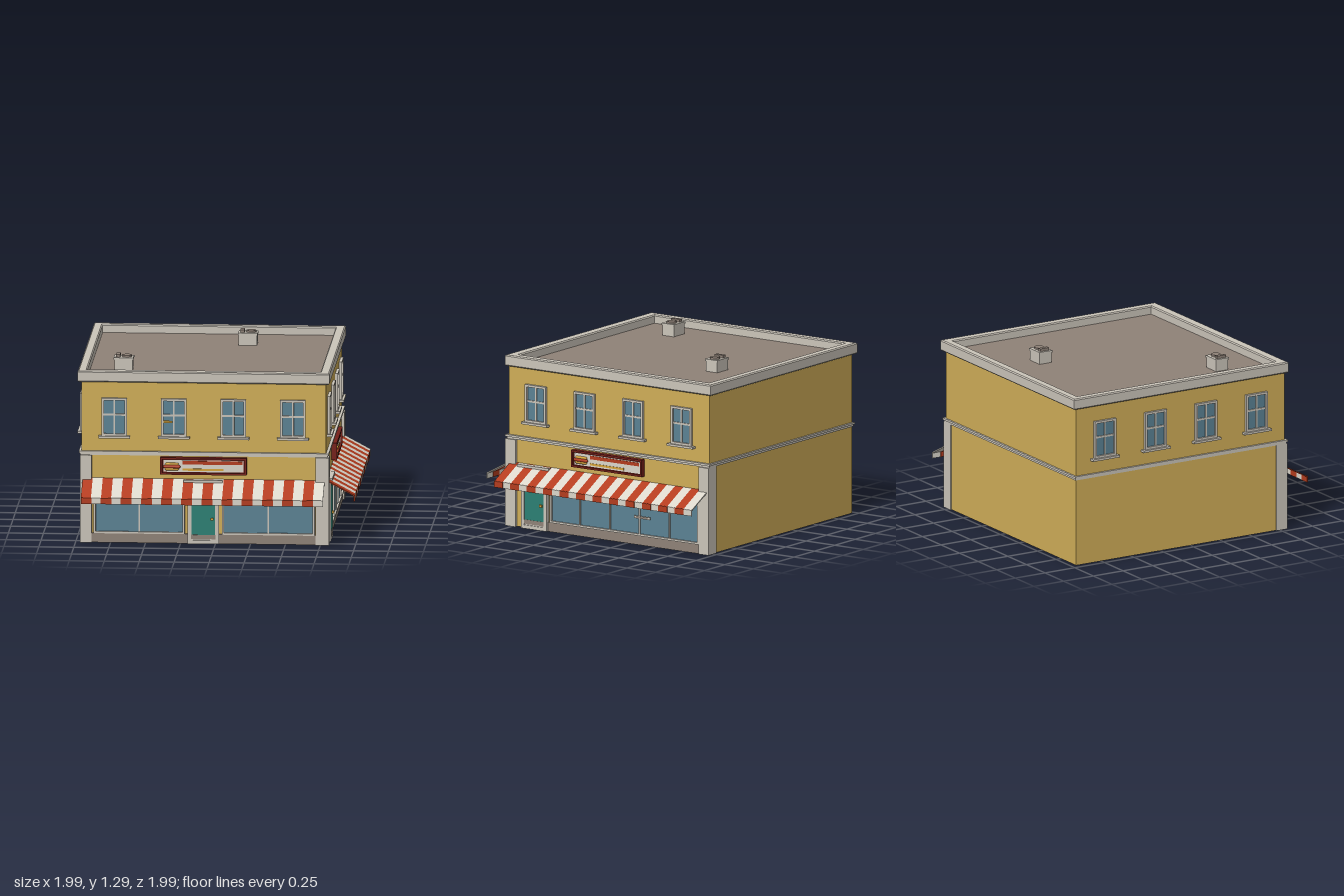
import * as THREE from 'three';

const mat = (name, color) => {
  const m = new THREE.MeshStandardMaterial({ color });
  m.name = name;
  return m;
};

export function createModel() {
  const wall = mat('ochre wall', 0xd0ae58);
  const trim = mat('stone trim', 0xcbc5ba);
  const brown = mat('brown grey roofing', 0x8f8278);
  const glass = mat('blue glass', 0x5b8294);
  const teal = mat('teal door', 0x2c8074);
  const red = mat('awning red', 0xb43c1e);
  const cream = mat('awning cream', 0xdcd7cc);
  const maroon = mat('maroon frame', 0x762019);
  const gold = mat('gold', 0xd8a63c);

  const model = new THREE.Group();
  model.name = 'cornerShop';

  const add = (parent, name, geometry, material) => {
    const mesh = new THREE.Mesh(geometry, material);
    mesh.name = name;
    parent.add(mesh);
    return mesh;
  };
  // Box given by its extents on each axis
  const box = (parent, name, material, x0, x1, y0, y1, z0, z1) => {
    const mesh = add(parent, name, new THREE.BoxGeometry(x1 - x0, y1 - y0, z1 - z0), material);
    mesh.position.set((x0 + x1) / 2, (y0 + y1) / 2, (z0 + z1) / 2);
    return mesh;
  };
  const group = (parent, name) => {
    const g = new THREE.Group();
    g.name = name;
    parent.add(g);
    return g;
  };
  // Four bars around an opening, facing +z
  const frame = (parent, name, material, x0, x1, y0, y1, t, depth) => {
    box(parent, name, material, x0, x0 + t, y0, y1, 0, depth);
    box(parent, name, material, x1 - t, x1, y0, y1, 0, depth);
    box(parent, name, material, x0 + t, x1 - t, y0, y0 + t, 0, depth);
    box(parent, name, material, x0 + t, x1 - t, y1 - t, y1, 0, depth);
  };

  // Main block
  box(model, 'walls', wall, -0.96, 0.79, 0.004, 1.175, -0.965, 0.79);
  box(model, 'foundation', brown, -0.955, 0.785, 0, 0.03, -0.96, 0.785);
  box(model, 'roof', brown, -0.95, 0.78, 1.15, 1.185, -0.955, 0.78);

  // Moulded band between the floors
  box(model, 'lowerBand', trim, -0.968, 0.8, 0.635, 0.65, -0.973, 0.8);
  box(model, 'upperBand', trim, -0.976, 0.81, 0.65, 0.665, -0.98, 0.81);

  // Parapet ring with a softened edge
  const bevel = 0.008;
  const square = (path, x0, x1, z0, z1) => {
    path.moveTo(x0, -z1).lineTo(x1, -z1).lineTo(x1, -z0).lineTo(x0, -z0).closePath();
    return path;
  };
  const ring = square(new THREE.Shape(), -0.985 + bevel, 0.815 - bevel, -0.995 + bevel, 0.81 - bevel);
  ring.holes.push(square(new THREE.Path(), -0.92 - bevel, 0.745 + bevel, -0.93 - bevel, 0.735 + bevel));
  const parapet = add(model, 'parapet', new THREE.ExtrudeGeometry(ring, {
    depth: 0.08 - 2 * bevel, bevelEnabled: true, bevelSize: bevel, bevelThickness: bevel, bevelSegments: 1,
  }), trim);
  parapet.rotation.x = -Math.PI / 2;
  parapet.position.y = 1.165 + bevel;

  // Corner pillars
  box(model, 'cornerPillar', trim, -0.966, -0.885, 0, 0.635, 0.72, 0.812);
  box(model, 'cornerPillar', trim, 0.715, 0.812, 0, 0.635, 0.72, 0.812);
  box(model, 'cornerPillar', trim, 0.715, 0.812, 0, 0.635, -0.972, -0.885);

  // Roof units
  for (const [x, z] of [[-0.68, 0.4], [0.145, -0.57]]) {
    const unit = group(model, 'roofUnit');
    unit.position.set(x, 1.18, z);
    box(unit, 'unitBody', trim, -0.065, 0.065, 0, 0.08, -0.05, 0.05);
    box(unit, 'unitLid', trim, -0.07, 0.07, 0.08, 0.095, -0.055, 0.055);
    box(unit, 'unitVent', brown, -0.055, -0.025, 0.095, 0.115, -0.037, 0.037);
    const fan = add(unit, 'unitFan', new THREE.CylinderGeometry(0.035, 0.035, 0.013, 16), brown);
    fan.position.set(0.022, 0.1015, 0);
  }

  // Each facade is built facing +z around its own centre line, then turned into place
  const facade = (name, x, z, turn) => {
    const g = group(model, name);
    g.position.set(x, 0, z);
    g.rotation.y = turn;
    return g;
  };

  const upperWindows = (side) => {
    for (let i = 0; i < 4; i++) {
      const w = group(side, 'upperWindow');
      w.position.x = -0.638 + i * 0.4255;
      box(w, 'windowGlass', glass, -0.08, 0.08, 0.78, 1.04, 0, 0.006);
      frame(w, 'windowFrame', trim, -0.091, 0.091, 0.775, 1.05, 0.017, 0.02);
      box(w, 'windowMullion', trim, -0.006, 0.006, 0.79, 1.035, 0, 0.012);
      box(w, 'windowTransom', trim, -0.075, 0.075, 0.922, 0.936, 0, 0.013);
      box(w, 'windowSill', trim, -0.113, 0.113, 0.76, 0.776, 0, 0.036);
    }
  };

  const awning = (side) => {
    const a = group(side, 'awning');
    const n = 24, w = 1.73 / n, drop = 0.108, reach = 0.2;
    for (let i = 0; i < n; i++) {
      const material = i % 2 ? cream : red;
      const x = -0.865 + (i + 0.5) * w;
      const cloth = add(a, 'awningStripe', new THREE.BoxGeometry(w, 0.008, Math.hypot(drop, reach)), material);
      cloth.position.set(x, 0.464 - drop / 2, reach / 2);
      cloth.rotation.x = Math.atan2(drop, reach);
      const extra = i % 2 ? 0 : 0.003;
      box(a, 'awningValance', material, x - w / 2 - (i ? extra : 0), x + w / 2 + extra,
        0.315, 0.358, reach - 0.004 - extra / 2, reach + 0.004 + extra / 2);
    }
  };

  const sign = (side) => {
    const s = group(side, 'signBoard');
    box(s, 'signBack', maroon, -0.305, 0.305, 0.51, 0.62, 0, 0.024);
    frame(s, 'signFrame', maroon, -0.308, 0.308, 0.503, 0.627, 0.014, 0.04);
    box(s, 'signPanel', cream, -0.285, 0.285, 0.522, 0.607, 0.024, 0.028);
    box(s, 'signRedStripe', red, -0.15, 0.28, 0.577, 0.602, 0.028, 0.032);
    box(s, 'signGoldStripe', gold, -0.15, 0.145, 0.532, 0.547, 0.028, 0.032);
    // Filled bun emblem
    const roll = (name, material, y, r, length, z) => {
      const m = add(s, name, new THREE.CapsuleGeometry(r, length, 4, 10), material);
      m.rotation.z = Math.PI / 2;
      m.position.set(-0.225, y, z);
    };
    roll('bunBottom', gold, 0.545, 0.013, 0.075, 0.032);
    roll('sausage', red, 0.562, 0.012, 0.1, 0.04);
    roll('bunTop', gold, 0.578, 0.011, 0.075, 0.032);
  };

  const display = (side, x0, x1, panes) => {
    const d = group(side, 'displayWindow');
    box(d, 'displayGlass', glass, x0 + 0.005, x1 - 0.005, 0.075, 0.415, 0, 0.008);
    frame(d, 'displayFrame', trim, x0, x1, 0.068, 0.42, 0.014, 0.022);
    for (let i = 1; i < panes; i++) {
      const x = x0 + ((x1 - x0) * i) / panes;
      box(d, 'displayMullion', trim, x - 0.005, x + 0.005, 0.08, 0.41, 0, 0.018);
    }
  };

  const door = (side, x) => {
    const d = group(side, 'door');
    d.position.x = x;
    box(d, 'doorSurround', trim, -0.113, 0.113, 0, 0.43, 0, 0.018);
    frame(d, 'doorFrame', trim, -0.113, 0.113, 0, 0.43, 0.026, 0.026);
    box(d, 'doorPanel', teal, -0.083, 0.083, 0.066, 0.395, 0.018, 0.024);
    box(d, 'doorKickPlate', brown, -0.087, 0.087, 0.035, 0.066, 0.018, 0.026);
    box(d, 'doorHandle', gold, 0.052, 0.074, 0.172, 0.19, 0.024, 0.038);
    box(d, 'doorHeader', trim, -0.138, 0.138, 0.43, 0.465, 0, 0.04);
  };

  const front = facade('frontFacade', -0.085, 0.79, 0);
  const right = facade('rightFacade', 0.79, -0.09, Math.PI / 2);
  const left = facade('leftFacade', -0.96, -0.09, -Math.PI / 2);

  [front, right, left].forEach(upperWindows);
  for (const side of [front, right]) {
    awning(side);
    sign(side);
  }

  // Street front
  box(front, 'plinth', brown, -0.8, 0.8, 0, 0.068, 0, 0.012);
  display(front, -0.785, -0.135, 2);
  display(front, 0.133, 0.795, 2);
  door(front, -0.002);
  box(front, 'windowNotice', gold, -0.295, -0.222, 0.874, 0.89, 0.013, 0.018);

  // Side street front
  box(right, 'plinth', brown, -0.53, 0.795, 0, 0.068, 0, 0.012);
  display(right, -0.51, 0.795, 5);
  door(right, -0.645);
  box(right, 'windowNotice', trim, 0.23, 0.37, 0.194, 0.214, 0.018, 0.022);
  box(right, 'windowNoticeFace', brown, 0.25, 0.35, 0.198, 0.21, 0.022, 0.025);

  return model;
}
